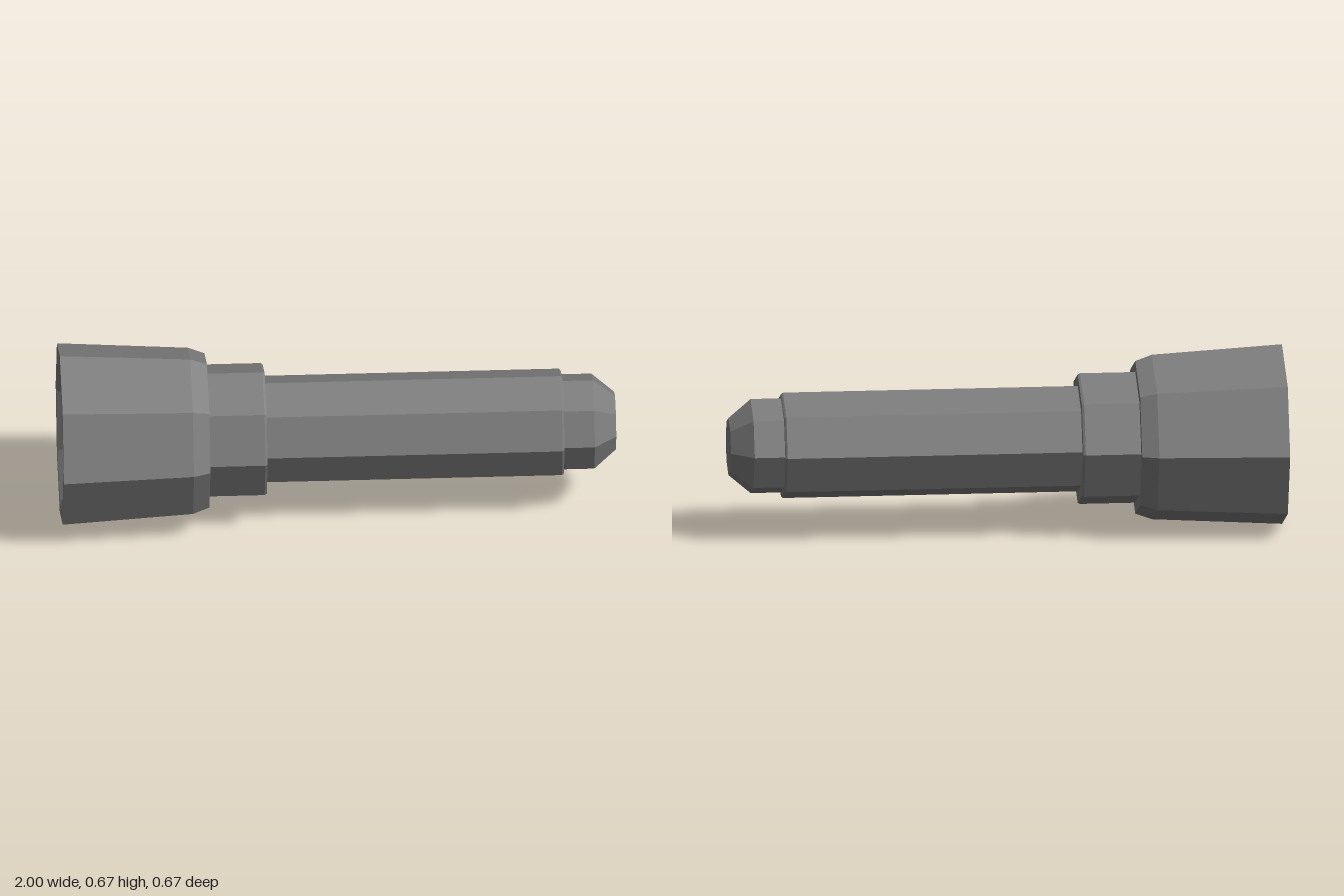
import * as THREE from 'three';

const RADIUS = 0.334;

// Eight-sided turned part along x, from [radius, x] profile points, with flat faces
function turned(name, profile, material) {
  const points = profile.map(([r, x]) => new THREE.Vector2(r, x));
  const geometry = new THREE.LatheGeometry(points, 8).toNonIndexed();
  geometry.computeVertexNormals();
  geometry.rotateZ(-Math.PI / 2);
  const mesh = new THREE.Mesh(geometry, material);
  mesh.name = name;
  return mesh;
}

export function createModel() {
  const metal = new THREE.MeshStandardMaterial({ color: 0x7b7b7b });
  metal.name = 'grey metal';
  const glass = new THREE.MeshStandardMaterial({ color: 0x56525f });
  glass.name = 'dark lens';

  const group = new THREE.Group();
  group.name = 'flashlight';
  group.add(
    // Flared head with a bevelled inner rim
    turned('head', [[0.25, -0.96], [0.29, -1], [RADIUS, -1], [0.306, -0.53], [0.284, -0.47], [0.22, -0.47]], metal),
    // Recessed lens
    turned('lens', [[0, -0.96], [0.25, -0.96]], glass),
    // Collar between head and grip
    turned('collar', [[0.243, -0.475], [0.243, -0.27], [0.239, -0.262], [0.18, -0.262]], metal),
    // Long grip
    turned('grip', [[0.196, -0.265], [0.196, 0.803], [0.19, 0.81], [0.16, 0.81]], metal),
    // Tapered tail cap
    turned('tailCap', [[0.175, 0.805], [0.175, 0.92], [0.106, 1], [0, 1]], metal),
  );
  group.position.y = RADIUS;
  return group;
}
